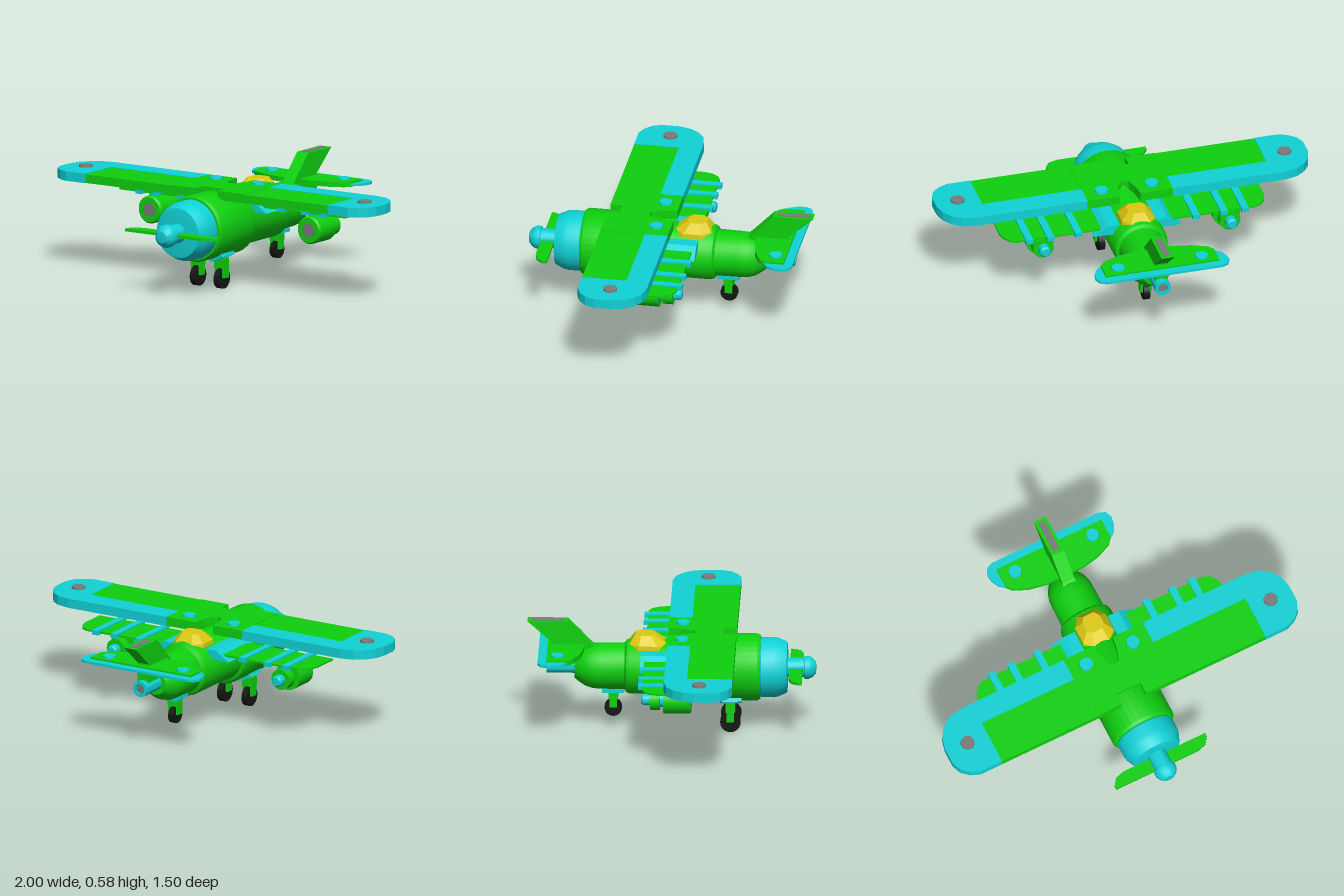
import * as THREE from 'three';
import { toCreasedNormals } from 'three/addons/utils/BufferGeometryUtils.js';
import { ConvexGeometry } from 'three/addons/geometries/ConvexGeometry.js';

const paint = (name, color) => {
  const m = new THREE.MeshStandardMaterial({ color });
  m.name = name;
  return m;
};

export function createModel() {
  const green = paint('green', 0x0fd00f), cyan = paint('cyan', 0x10d2d6);
  const yellow = paint('yellow', 0xdcca12), grey = paint('grey', 0x7a7a7a), black = paint('black', 0x151515);
  const model = new THREE.Group();
  model.name = 'airplane';

  const add = (name, geo, mat, x = 0, y = 0, z = 0, parent = model) => {
    const mesh = new THREE.Mesh(geo, mat);
    mesh.name = name;
    mesh.position.set(x, y, z);
    parent.add(mesh);
    return mesh;
  };
  const box = (name, w, h, d, mat, x, y, z, parent) =>
    add(name, new THREE.BoxGeometry(w, h, d), mat, x, y, z, parent);
  // Horizontal plate from [x, z] points, between two heights; side -1 mirrors it
  const plate = (name, pts, y0, y1, mat, side = 1) => {
    const shape = new THREE.Shape(pts.map(([x, z]) => new THREE.Vector2(x * side, -z)));
    const geo = new THREE.ExtrudeGeometry(shape, { depth: y1 - y0, bevelEnabled: false });
    return add(name, geo.rotateX(-Math.PI / 2), mat, 0, y0, 0);
  };
  // Upright profile extruded sideways, from [z, y] points
  const fin = (name, pts, w, mat) => {
    const shape = new THREE.Shape(pts.map(([z, y]) => new THREE.Vector2(-z, y)));
    const geo = new THREE.ExtrudeGeometry(shape, { depth: w, bevelEnabled: false });
    return add(name, geo.translate(0, 0, -w / 2).rotateY(Math.PI / 2), mat);
  };
  // Round part about the z axis, from [radius, z] points running back to front
  const turned = (name, pts, mat, x = 0, y = 0.33, parent = model) => {
    const geo = new THREE.LatheGeometry(pts.map(p => new THREE.Vector2(...p)), 32).rotateX(Math.PI / 2);
    return add(name, toCreasedNormals(geo, 0.6), mat, x, y, 0, parent);
  };
  const disc = (name, r, h, mat, x, y, z) => add(name, new THREE.CylinderGeometry(r, r * 1.05, h, 24), mat, x, y, z);

  // Fuselage
  turned('fuselage', [
    [0, -0.505], [0.065, -0.505], [0.085, -0.48], [0.105, -0.45], [0.118, -0.41], [0.12, -0.37],
    [0.12, -0.365], [0.122, -0.245], [0.138, -0.235], [0.145, -0.215], [0.145, 0.1], [0.15, 0.115],
    [0.165, 0.122], [0.175, 0.14], [0.175, 0.445], [0.165, 0.46], [0, 0.46]], green);
  turned('cowling', [[0.15, 0.455], [0.157, 0.465], [0.157, 0.53], [0.152, 0.555], [0.132, 0.598],
    [0.12, 0.6], [0, 0.6]], cyan);
  turned('spinner', [[0.05, 0.595], [0.05, 0.685], [0.06, 0.688], [0.06, 0.71], [0.05, 0.73],
    [0.03, 0.747], [0, 0.75]], cyan);
  turned('tailPipe', [[0, -0.64], [0.026, -0.64], [0.026, -0.652], [0.042, -0.652], [0.042, -0.49]], cyan, 0, 0.333);
  turned('tailPipeCore', [[0, -0.645], [0.024, -0.645], [0.024, -0.63]], grey, 0, 0.333);

  // Propeller, one blade turned half round to make the other
  plate('propeller', [[-0.275, 0.68], [-0.275, 0.66], [-0.25, 0.625], [-0.2, 0.61], [0.275, 0.61],
    [0.275, 0.63], [0.25, 0.665], [0.2, 0.68]], 0.323, 0.338, green);

  // Canopy
  const ring = (y, pts) => pts.flatMap(([x, z]) => [new THREE.Vector3(x, y, z), new THREE.Vector3(-x, y, z)]);
  const canopy = [
    ...ring(0.44, [[0.045, -0.015], [0.09, -0.065], [0.09, -0.175], [0.055, -0.225]]),
    ...ring(0.465, [[0.04, -0.025], [0.088, -0.075], [0.088, -0.17], [0.052, -0.22]]),
    ...ring(0.512, [[0.03, -0.09], [0.05, -0.11], [0.05, -0.16], [0.03, -0.19]])];
  add('canopy', new ConvexGeometry(canopy), yellow);

  for (const s of [1, -1]) {
    // Upper wing
    plate('wingCentre', [[0, 0.27], [0.07, 0.27], [0.07, 0.335], [0.23, 0.335], [0.23, -0.02], [0.055, -0.02],
      [0.045, 0.05], [0.025, 0.11], [0, 0.12]], 0.472, 0.52, green, s);
    plate('wingPanel', [[0.23, 0.1], [0.765, 0.1], [0.765, 0.335], [0.23, 0.335]], 0.472, 0.517, green, s);
    plate('wingEdgeAndTip', [[0.23, 0.1], [0.765, 0.1], [0.765, 0.335], [0.89, 0.335], [0.94, 0.315],
      [0.98, 0.28], [1, 0.23], [1, 0.14], [0.985, 0.08], [0.95, 0.03], [0.9, -0.005], [0.83, -0.02],
      [0.23, -0.02]], 0.47, 0.52, cyan, s);
    disc('wingTipCap', 0.035, 0.012, grey, 0.88 * s, 0.525, 0.165);
    disc('wingRootCap', 0.034, 0.012, cyan, 0.135 * s, 0.525, 0.055);

    // Lower wing with ribs
    plate('lowerWing', [[0.1, -0.14], [0.64, -0.14], [0.675, -0.125], [0.7, -0.09], [0.712, -0.05],
      [0.712, 0.1], [0.1, 0.1]], 0.407, 0.417, green, s);
    for (const x of [0.317, 0.467, 0.58]) box('lowerWingRib', 0.038, 0.024, 0.28, cyan, x * s, 0.413, -0.02);

    // Sloping wing root
    const root = new THREE.Shape([[0.08, 0.385], [0.235, 0.385], [0.16, 0.438], [0.08, 0.438]]
      .map(([x, y]) => new THREE.Vector2(x * s, y)));
    add('wingRoot', new THREE.ExtrudeGeometry(root, { depth: 0.29, bevelEnabled: false }), cyan, 0, 0, -0.16);

    // Pods under the lower wing
    const pod = new THREE.Group();
    pod.name = 'pod';
    pod.position.x = s > 0 ? 0.49 : -0.515;
    model.add(pod);
    turned('podBody', [[0, -0.03], [0.073, -0.03], [0.073, 0.105], [0.065, 0.115], [0, 0.115]], green, 0, 0.322, pod);
    turned('podNeck', [[0.04, -0.05], [0.04, -0.03]], cyan, 0, 0.322, pod);
    turned('podCollar', [[0, -0.1], [0.055, -0.1], [0.055, -0.048], [0, -0.048]], green, 0, 0.322, pod);
    turned('podTail', [[0, -0.145], [0.022, -0.145], [0.03, -0.135], [0.03, -0.1]], cyan, 0, 0.322, pod);
    turned('podFace', [[0.036, 0.114], [0.036, 0.118], [0, 0.118]], grey, 0, 0.322, pod);
    box('podPylon', 0.05, 0.03, 0.1, cyan, 0, 0.398, 0.03, pod);

    // Tailplane
    plate('tailplane', [[0, -0.645], [0.305, -0.645], [0.305, -0.54], [0.28, -0.51], [0.2, -0.475],
      [0.1, -0.457], [0, -0.455]], 0.43, 0.456, green, s);
    plate('tailplaneEdge', [[0, -0.69], [0.31, -0.69], [0.345, -0.675], [0.36, -0.64], [0.355, -0.6],
      [0.335, -0.56], [0.3, -0.535], [0, -0.535]], 0.434, 0.447, cyan, s);
    disc('tailplaneCap', 0.033, 0.01, cyan, 0.225 * s, 0.46, -0.59);
  }

  // Tail fin
  fin('tailFin', [[-0.4, 0.44], [-0.42, 0.455], [-0.54, 0.58], [-0.75, 0.58], [-0.62, 0.465],
    [-0.62, 0.365], [-0.45, 0.365]], 0.07, green);
  box('tailFinCap', 0.036, 0.006, 0.17, grey, 0, 0.58, -0.645);

  // Landing gear: wheel in a fork below a tilted mount
  const gear = (name, x, z, y, r, topY, tilt) => {
    const g = new THREE.Group();
    g.name = name;
    model.add(g);
    const tyre = new THREE.CylinderGeometry(r, r, 0.032, 24).rotateZ(Math.PI / 2);
    add('wheel', tyre, black, x, y, z, g);
    for (const s of [1, -1]) box('fork', 0.014, topY - y, 0.04, green, x + 0.024 * s, (topY + y) / 2 + 0.005, z, g);
    const crownY = y + r + 0.004;
    box('forkCrown', 0.06, Math.max(topY - crownY, 0.01), 0.05, green, x, (topY + crownY) / 2, z, g);
    box('mount', 0.085, 0.018, 0.115, cyan, x, topY + 0.012, z, g).rotation.z = tilt;
    box('mountPad', 0.06, 0.03, 0.085, cyan, x, topY + 0.014, z, g).rotation.z = tilt;
  };
  gear('leftGear', 0.075, 0.305, 0.055, 0.053, 0.158, 0.42);
  gear('rightGear', -0.075, 0.305, 0.055, 0.053, 0.158, -0.42);
  gear('tailGear', 0, -0.305, 0.105, 0.045, 0.192, 0);

  return model;
}
